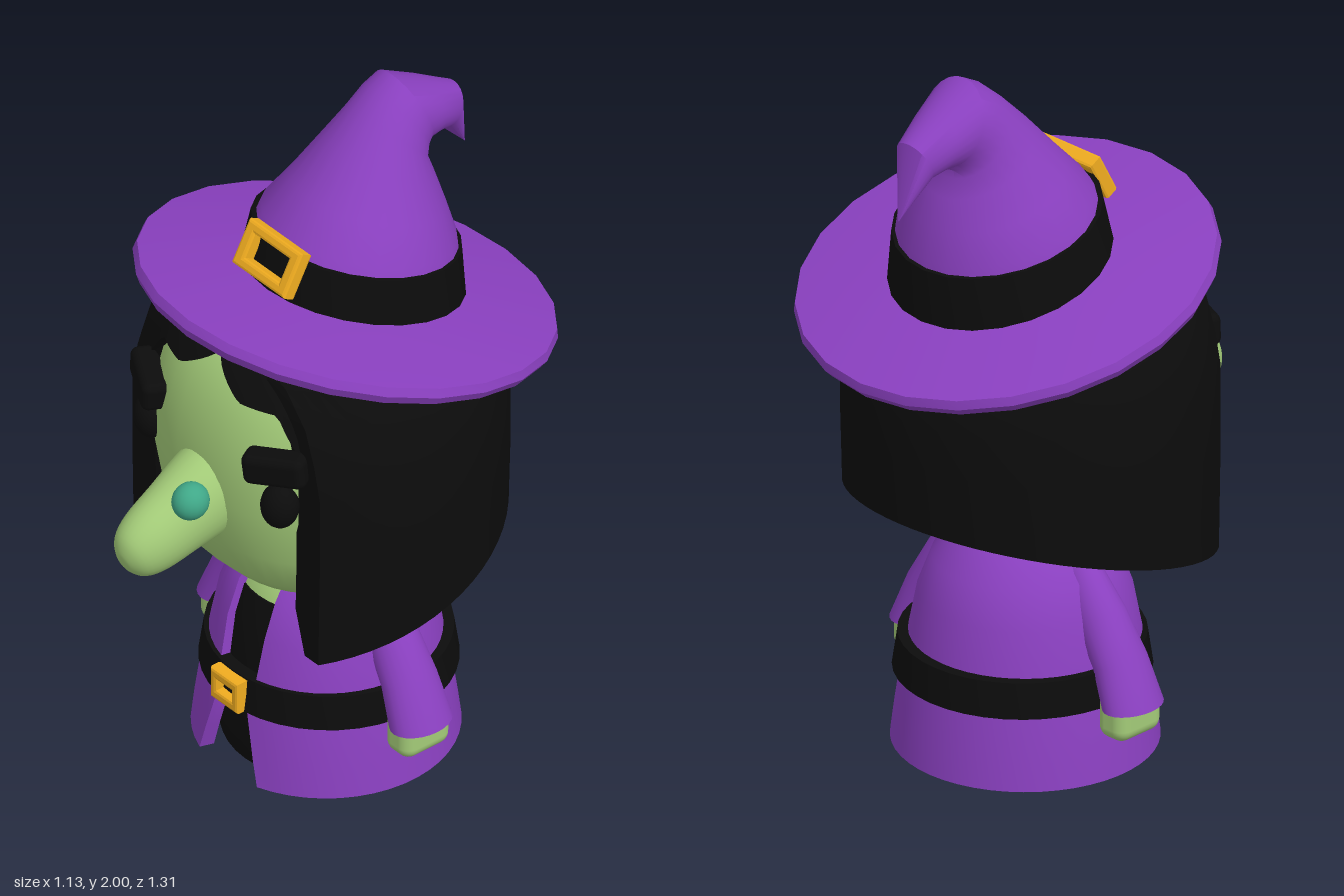
import * as THREE from 'three';
import { toCreasedNormals } from 'three/addons/utils/BufferGeometryUtils.js';
import { RoundedBoxGeometry } from 'three/addons/geometries/RoundedBoxGeometry.js';

const mat = (color) => new THREE.MeshStandardMaterial({ color, roughness: 0.8, side: THREE.DoubleSide });
const PURPLE = mat(0x8a40c0), BLACK = mat(0x0c0c0c), SKIN = mat(0xa3cb78), GOLD = mat(0xf0ac20), TEAL = mat(0x40a888);
const { sin, cos, PI, min, max, abs, sign, pow, acos, asin } = Math;

// Skin a list of closed loops; faces are flipped if they come out inward
function skin(loops, crease = 0.7) {
  const n = loops[0].length, pos = loops.flat(2), idx = [];
  for (let i = 0; i < loops.length - 1; i++) for (let j = 0; j < n; j++) {
    const a = i * n + j, b = i * n + (j + 1) % n;
    idx.push(a, b, a + n, b, b + n, a + n);
  }
  const v = (i) => new THREE.Vector3().fromArray(pos, i * 3);
  let vol = 0;
  for (let i = 0; i < idx.length; i += 3) vol += v(idx[i]).dot(v(idx[i + 1]).cross(v(idx[i + 2])));
  if (vol < 0) idx.reverse();
  const g = new THREE.BufferGeometry();
  g.setAttribute('position', new THREE.Float32BufferAttribute(pos, 3));
  g.setIndex(idx);
  return toCreasedNormals(g, crease);
}

// Loft of ovals: each section is [u1, y1, u2, y2, half depth]; place() maps (u, y, depth) to a point
function loft(sections, place, seg = 24) {
  const ring = ([u1, y1, u2, y2, d], k) => Array.from({ length: seg }, (_, j) => {
    const a = j / seg * 2 * PI, c = cos(a) * k / 2;
    return place((u1 + u2) / 2 + (u1 - u2) * c, (y1 + y2) / 2 + (y1 - y2) * c, d * sin(a) * k);
  });
  return skin([ring(sections[0], 0), ...sections.map((s) => ring(s, 1)), ring(sections.at(-1), 0)]);
}

// Thick sheet: point(row, s, inner) for s from -1 to 1, closed along all its edges
function sheet(rows, seg, point) {
  const loops = [];
  for (let i = 0; i <= seg; i++) {
    const s = i / seg * 2 - 1, out = [], inn = [];
    for (let r = 0; r < rows; r++) { out.push(point(r, s, false)); inn.unshift(point(r, s, true)); }
    loops.push([...out, ...inn]);
  }
  const edge = (l) => l.map((p, i) => p.map((c, k) => (c + l[l.length - 1 - i][k]) / 2));
  return skin([edge(loops[0]), ...loops, edge(loops.at(-1))]);
}

const lathe = (pts, seg = 40) =>
  toCreasedNormals(new THREE.LatheGeometry(pts.map(([r, y]) => new THREE.Vector2(r, y)), seg), 0.7);

// Rounded square plan used for the head and fringe
const plan = (a, k, w, d) => [
  w * k * sign(sin(a)) * pow(abs(sin(a)), 0.87), d * k * sign(cos(a)) * pow(abs(cos(a)), 0.87)];

// Rectangular buckle frame
function frame(w, h, hw, hh, depth) {
  const rect = (P, x, y) => new P().moveTo(-x, -y).lineTo(x, -y).lineTo(x, y).lineTo(-x, y).closePath();
  const s = rect(THREE.Shape, w / 2 - 0.008, h / 2 - 0.008);
  s.holes.push(rect(THREE.Path, hw / 2 + 0.008, hh / 2 + 0.008));
  return new THREE.ExtrudeGeometry(s, { depth: depth - 0.016, bevelSize: 0.008, bevelThickness: 0.008, bevelSegments: 2 })
    .translate(0, 0, -depth / 2 + 0.008);
}

export function createModel() {
  const model = new THREE.Group();
  const add = (name, geo, material, x = 0, y = 0, z = 0) => {
    const m = new THREE.Mesh(geo, material);
    m.name = name;
    m.position.set(x, y, z);
    model.add(m);
    return m;
  };

  // Robe, open down the front: [radius, y, half gap]
  const robe = [[0.352, 0.025, 0.115], [0.343, 0.1, 0.095], [0.325, 0.23, 0.06], [0.305, 0.33, 0.07], [0.282, 0.45, 0.074],
    [0.245, 0.55, 0.072], [0.185, 0.62, 0.058], [0.13, 0.665, 0.045]];
  add('robe', sheet(robe.length, 44, (r, s, inner) => {
    const [R, y, gap] = robe[r], a = PI + s * (PI - asin(gap / R)), q = inner ? R - 0.04 : R;
    return [q * sin(a), y, q * cos(a)];
  }), PURPLE, 0, 0, -0.04);
  add('underDress', lathe([[0, 0], [0.25, 0], [0.275, 0.025], [0.295, 0.1], [0.29, 0.23], [0.28, 0.33], [0.26, 0.45], [0.232, 0.53], [0, 0.53]]),
    BLACK, 0, 0, -0.04);
  add('chest', lathe([[0, 0.5], [0.232, 0.52], [0.215, 0.56], [0.165, 0.62], [0.11, 0.67], [0, 0.67]]), SKIN, 0, 0, -0.04);
  add('belt', lathe([[0.28, 0.232], [0.34, 0.232], [0.326, 0.33], [0.28, 0.33], [0.28, 0.232]]), BLACK, 0, 0, -0.05);
  add('beltBuckle', frame(0.11, 0.095, 0.06, 0.035, 0.04), GOLD, 0, 0.28, 0.29);

  // Sleeves and hands
  const sleeve = [[0.13, 0.655, 0.07, 0.6, 0.035], [0.24, 0.6, 0.15, 0.5, 0.055], [0.33, 0.49, 0.22, 0.4, 0.07],
    [0.4, 0.37, 0.28, 0.33, 0.08], [0.455, 0.24, 0.32, 0.235, 0.092]];
  for (const [side, k] of [['left', 1], ['right', -1]]) {
    add(side + 'Sleeve', loft(sleeve, (u, y, d) => [u * k, y, d]), PURPLE, 0, 0, -0.035);
    add(side + 'Hand', new RoundedBoxGeometry(0.1, 0.13, 0.16, 4, 0.035), SKIN, 0.375 * k, 0.218, -0.035);

    // Eyes and brows
    const eye = add(side + 'Eye', new THREE.SphereGeometry(1, 20, 14), BLACK, 0.258 * k, 1.042, 0.335);
    eye.scale.set(0.052, 0.066, 0.05);
    eye.rotation.y = 0.5 * k;
    const brow = add(side + 'Brow', new RoundedBoxGeometry(0.175, 0.09, 0.075, 3, 0.022), BLACK, 0.255 * k, 1.167, 0.345);
    brow.rotation.set(0, 0.5 * k, 0.12 * k);
  }

  // Head
  const head = [[0, 0.65], [0.58, 0.65], [0.7, 0.665], [0.83, 0.72], [0.94, 0.83], [1, 0.98], [1, 1.12], [0.94, 1.25],
    [0.84, 1.33], [0.7, 1.39], [0, 1.42]];
  add('head', skin(head.map(([k, y]) => Array.from({ length: 40 }, (_, j) => {
    const [x, z] = plan(j / 20 * PI, k, 0.4, 0.4);
    return [x, y, z];
  })), 1), SKIN);

  // Nose and wart
  const nose = add('nose', new THREE.LatheGeometry(new THREE.SplineCurve([[0.135, -0.05], [0.132, 0.03], [0.115, 0.14], [0.1, 0.24],
    [0.075, 0.3], [0.035, 0.328], [0, 0.333]].map(([r, y]) => new THREE.Vector2(r, y))).getPoints(24), 28), SKIN, 0, 0.975, 0.34);
  nose.rotation.x = PI / 2 + 0.36;
  nose.scale.x = 0.82;
  const wart = add('wart', new THREE.SphereGeometry(0.052, 20, 14), TEAL, 0.082, 1.03, 0.49);
  wart.scale.x = 0.92;

  // Hair, cut flat at the front, with a sloping hem and kept below the hat: [radius, y or hem fraction]
  const underBrim = (z) => 1.34 + 0.268 * (z + 0.105);
  const hair = [[0.49, 0], [0.492, 0.25], [0.495, 0.6], [0.495, 1], [0.478, 1.2], [0.452, 1.3], [0.4, 1.39], [0.3, 1.46], [0.02, 1.48]];
  add('hair', sheet(hair.length, 48, (r, s, inner) => {
    const R = max(0.01, hair[r][0] - (inner ? (r === 0 ? 0.04 : 0.067) : 0));
    const a = PI + s * (PI - acos(min(1, 0.32 / R)));
    const z = R * cos(a) - 0.02, hem = 0.57 + (0.3 - z) * 0.278, h = hair[r][1];
    const y = r < 4 ? hem + (1.1 - hem) * h : h;
    return [R * sin(a), min(y, underBrim(z)) - (inner && r > 3 ? 0.02 : 0), z];
  }), BLACK);

  // Parted fringe
  add('fringe', sheet(8, 48, (r, s, inner) => {
    const a = s * 1.1, ax = abs(plan(a, 0.93, 0.42, 0.4)[0]);
    const hem = ax < 0.12 ? 1.39 - 0.085 * pow(ax / 0.12, 0.8) : max(1.15, 1.305 - max(0, ax - 0.23) * 2);
    const y = hem + (1.47 - hem) * r / 7;
    const [x, z] = plan(a, 1 - 4.2 * (y - 1.17) ** 2 - (inner ? 0.1 : 0), 0.42, 0.4);
    return [x, min(y, underBrim(z) + 0.01), z];
  }), BLACK);

  // Tilted hat: brim, band, bent crown
  const brim = add('hatBrim', lathe([[0, -0.025], [0.55, -0.025], [0.565, 0], [0.558, 0.025], [0.28, 0.068], [0, 0.07]], 24),
    PURPLE, 0, 1.37, -0.105);
  brim.rotation.x = -0.262;
  const hatPlace = (u, y, d) => [d, y, u];
  add('hatBand', loft([[0.165, 1.49, -0.425, 1.35, 0.297], [0.13, 1.63, -0.417, 1.495, 0.278]], hatPlace), BLACK);
  add('hatCrown', loft([[0.13, 1.6, -0.41, 1.46, 0.275], [0.1, 1.65, -0.405, 1.52, 0.262], [0.02, 1.735, -0.385, 1.605, 0.21],
    [-0.08, 1.845, -0.36, 1.69, 0.158], [-0.16, 1.925, -0.338, 1.74, 0.125], [-0.215, 1.972, -0.338, 1.762, 0.115],
    [-0.265, 2, -0.35, 1.775, 0.105], [-0.37, 1.943, -0.385, 1.775, 0.085], [-0.475, 1.88, -0.42, 1.765, 0.062],
    [-0.51, 1.67, -0.51, 1.67, 0.002]], hatPlace), PURPLE);
  const buckle = add('hatBuckle', frame(0.21, 0.13, 0.14, 0.07, 0.045), GOLD, 0, 1.602, 0.145);
  buckle.rotation.x = -0.5;

  return model;
}
